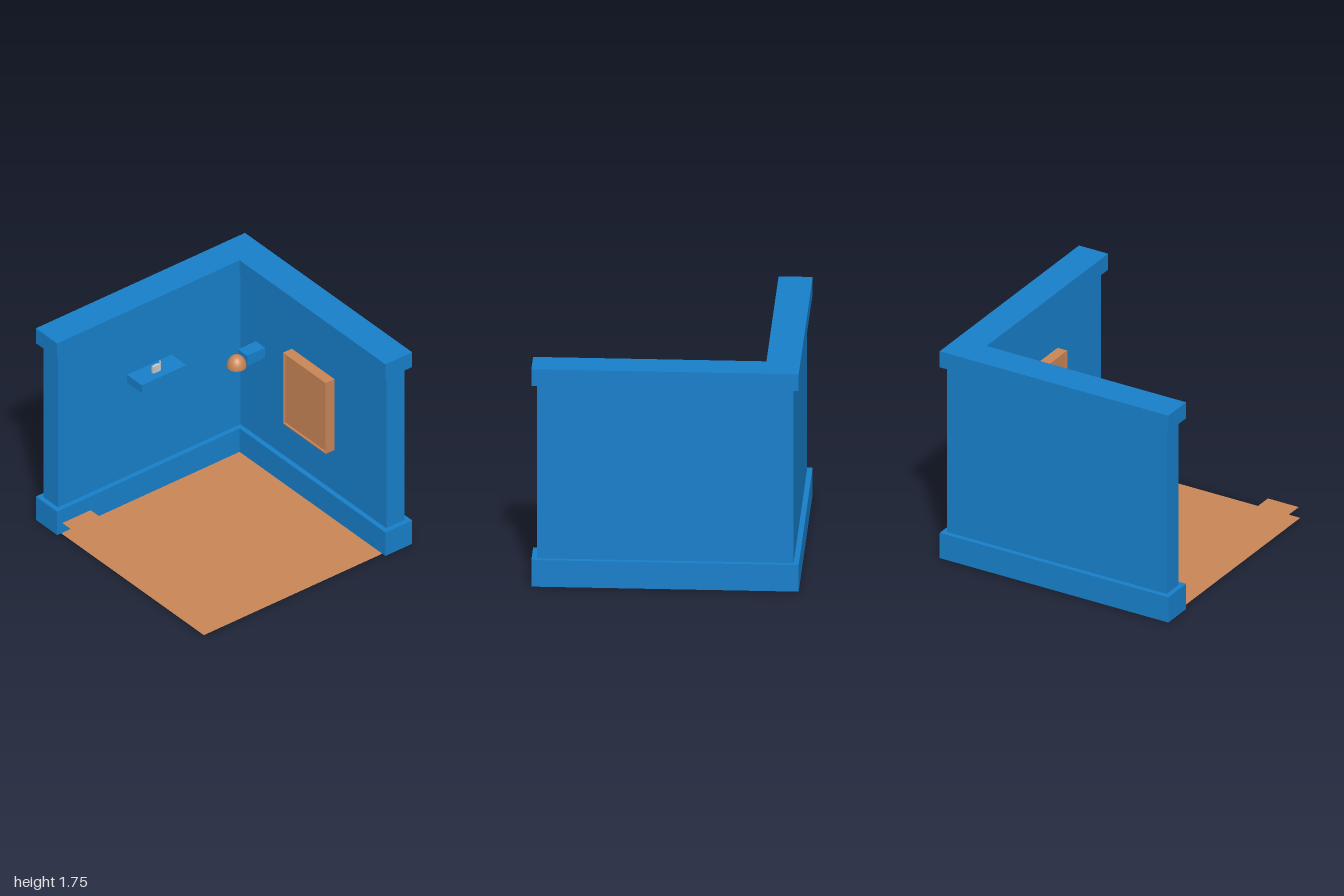
import * as THREE from 'three';

const blue = new THREE.MeshStandardMaterial({ color: 0x177fca });
const orange = new THREE.MeshStandardMaterial({ color: 0xc98556 });
const orangeSheet = new THREE.MeshStandardMaterial({ color: 0xc98556, side: THREE.DoubleSide });
const grey = new THREE.MeshStandardMaterial({ color: 0xcccccc });

function add(parent, name, geometry, material) {
  const mesh = new THREE.Mesh(geometry, material);
  mesh.name = name;
  parent.add(mesh);
  return mesh;
}

// Box given by its limits on each axis
function box(parent, name, material, [x0, x1], [y0, y1], [z0, z1]) {
  const mesh = add(parent, name, new THREE.BoxGeometry(x1 - x0, y1 - y0, z1 - z0), material);
  mesh.position.set((x0 + x1) / 2, (y0 + y1) / 2, (z0 + z1) / 2);
  return mesh;
}

// L-shaped plan (left arm and back arm) raised from y0 to y1
function corner(parent, name, outer, inner, y0, y1) {
  const plan = new THREE.Shape([
    [-outer, -outer], [inner, -outer], [inner, -inner],
    [outer, -inner], [outer, outer], [-outer, outer],
  ].map(([x, y]) => new THREE.Vector2(x, y)));
  const geometry = new THREE.ExtrudeGeometry(plan, { depth: y1 - y0, bevelEnabled: false });
  geometry.rotateX(-Math.PI / 2);
  add(parent, name, geometry, blue).position.y = y0;
}

// Horizontal thin sheet
function sheet(parent, name, y, [x0, x1], [z0, z1]) {
  const geometry = new THREE.PlaneGeometry(x1 - x0, z1 - z0).rotateX(-Math.PI / 2);
  add(parent, name, geometry, orangeSheet).position.set((x0 + x1) / 2, y, (z0 + z1) / 2);
}

export function createModel() {
  const model = new THREE.Group();
  model.name = 'roomCorner';

  // Walls with base and top trim
  corner(model, 'baseTrim', 1, -0.745, 0.002, 0.215);
  corner(model, 'walls', 0.96, -0.785, 0.215, 1.61);
  corner(model, 'topTrim', 1, -0.745, 1.61, 1.745);

  // Floor and the raised strip along its front
  sheet(model, 'floor', 0, [-0.785, 0.96], [-0.785, 0.96]);
  sheet(model, 'frontStrip', 0.09, [-0.785, 0.955], [0.68, 0.95]);

  // Framed panel on the back wall
  const panel = new THREE.Group();
  panel.name = 'framedPanel';
  model.add(panel);
  const [px, py, w, h, rim] = [0.085, 0.913, 0.51, 0.645, 0.01];
  const rect = (Type, a, b) => new Type([[-a, -b], [a, -b], [a, b], [-a, b]]
    .map(([x, y]) => new THREE.Vector2(x, y)));
  const frameShape = rect(THREE.Shape, w / 2, h / 2);
  frameShape.holes.push(rect(THREE.Path, w / 2 - rim, h / 2 - rim));
  add(panel, 'frame', new THREE.ExtrudeGeometry(frameShape, { depth: 0.085, bevelEnabled: false }), orange)
    .position.set(px, py, -0.785);
  box(panel, 'picturePane', orange, [px - w / 2 + rim, px + w / 2 - rim],
    [py - h / 2 + rim, py + h / 2 - rim], [-0.785, -0.715]);

  // Wall lamp: bracket, dome shade and bulb
  const lamp = new THREE.Group();
  lamp.name = 'wallLamp';
  model.add(lamp);
  box(lamp, 'lampBracket', blue, [-0.6, -0.49], [0.98, 1.07], [-0.785, -0.615]);
  const shade = add(lamp, 'lampShade',
    new THREE.SphereGeometry(0.075, 32, 12, 0, Math.PI * 2, 0, Math.PI / 2), orangeSheet);
  shade.scale.y = 1.3;
  shade.position.set(-0.533, 0.983, -0.547);
  add(lamp, 'bulb', new THREE.SphereGeometry(0.042, 24, 16), orange).position.set(-0.533, 1.002, -0.547);

  // Shelf on the left wall with a row of small books
  box(model, 'shelf', blue, [-0.785, -0.607], [1.065, 1.135], [-0.125, 0.3]);
  const books = new THREE.Group();
  books.name = 'books';
  model.add(books);
  const sizes = [ // z start, z end, height, depth
    [0.063, 0.070, 0.08, 0.017], [0.075, 0.083, 0.06, 0.02], [0.085, 0.097, 0.06, 0.025],
    [0.099, 0.115, 0.062, 0.025], [0.117, 0.138, 0.06, 0.02],
  ];
  for (const [z0, z1, height, depth] of sizes) {
    box(books, 'book', grey, [-0.682 - depth / 2, -0.682 + depth / 2], [1.135, 1.135 + height], [z0, z1]);
  }
  return model;
}
